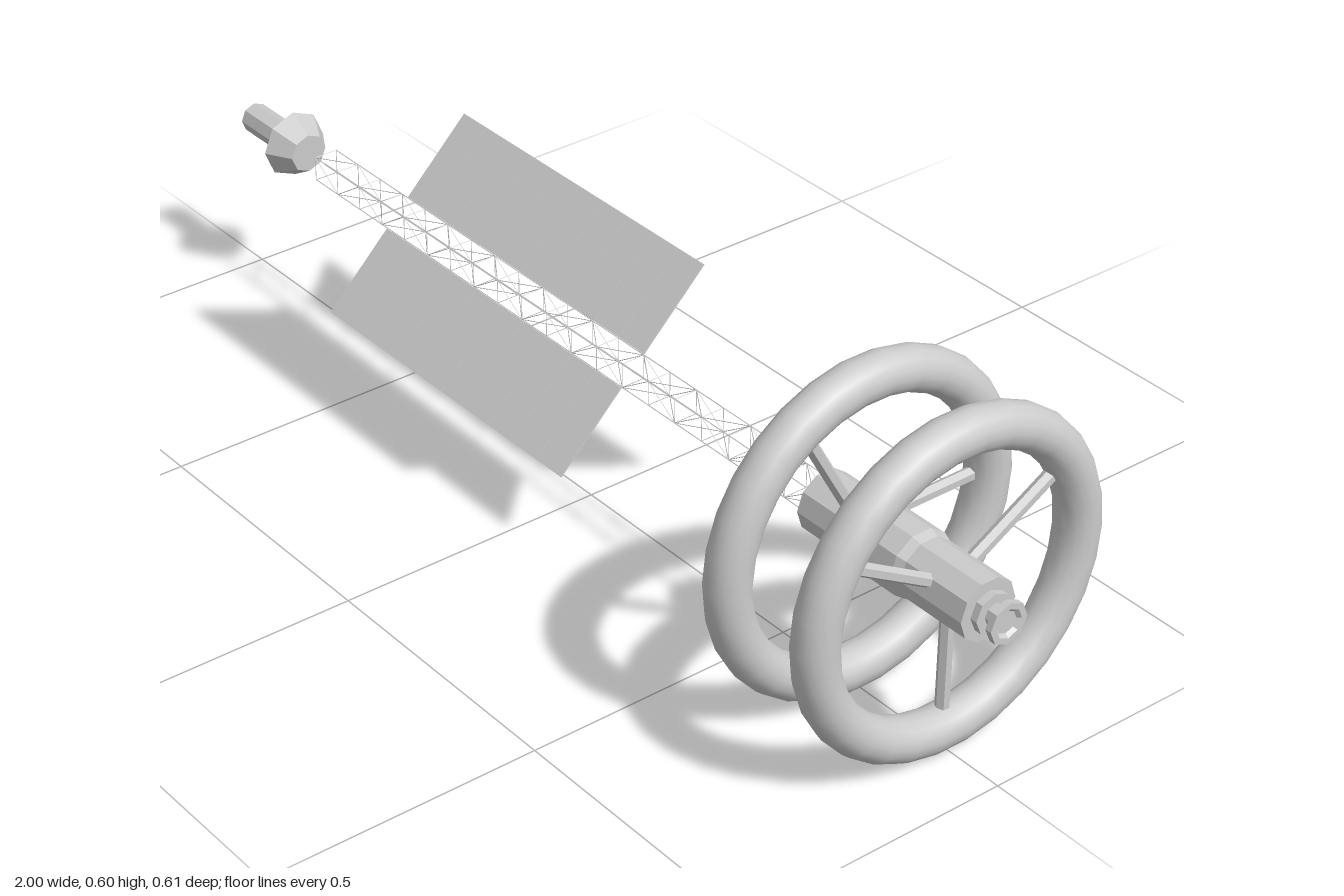
import * as THREE from 'three';

const flat = new THREE.MeshStandardMaterial({ color: 0xcccccc, flatShading: true });
const smooth = new THREE.MeshStandardMaterial({ color: 0xcccccc });
const thin = new THREE.MeshStandardMaterial({ color: 0xcccccc, flatShading: true, side: THREE.DoubleSide });

function add(parent, name, geometry, material = flat) {
  const mesh = new THREE.Mesh(geometry, material);
  mesh.name = name;
  parent.add(mesh);
  return mesh;
}

// Faceted body around the x axis from [x, radius] points, in order of rising x
function turned(parent, name, points, sides) {
  const geometry = new THREE.LatheGeometry(points.map(([x, r]) => new THREE.Vector2(r, x)), sides);
  geometry.rotateZ(-Math.PI / 2);
  return add(parent, name, geometry);
}

// Straight rod between two points
function rod(parent, name, a, b, radius, sides) {
  const mesh = add(parent, name, new THREE.CylinderGeometry(radius, radius, a.distanceTo(b), sides));
  mesh.position.copy(a).lerp(b, 0.5);
  mesh.quaternion.setFromUnitVectors(new THREE.Vector3(0, 1, 0), b.clone().sub(a).normalize());
  return mesh;
}

// Habitat ring with three spokes; angles run from -z towards +y
function habitatRing(x, firstAngle) {
  const ring = new THREE.Group();
  ring.name = 'habitatRing';
  add(ring, 'ringTube', new THREE.TorusGeometry(0.265, 0.038, 16, 30).rotateY(Math.PI / 2), smooth);
  for (let i = 0; i < 3; i++) {
    const a = firstAngle + (i * Math.PI * 2) / 3;
    const dir = new THREE.Vector3(0, Math.sin(a), -Math.cos(a));
    rod(ring, 'spoke', dir.clone().multiplyScalar(0.04), dir.clone().multiplyScalar(0.24), 0.012, 6);
  }
  ring.position.x = x;
  return ring;
}

// Square lattice boom of four rails, cross frames and diagonals
function latticeBoom(x0, x1, half, bays) {
  const boom = new THREE.Group();
  boom.name = 'latticeBoom';
  const corners = [[1, 1], [1, -1], [-1, -1], [-1, 1]];
  const point = (x, k) => new THREE.Vector3(x, corners[k % 4][0] * half, corners[k % 4][1] * half);
  const step = (x1 - x0) / bays;
  for (let k = 0; k < 4; k++) {
    rod(boom, 'rail', point(x0, k), point(x1, k), 0.0012, 4);
    for (let i = 0; i <= bays; i++) {
      const x = x0 + i * step;
      rod(boom, 'crossBar', point(x, k), point(x, k + 1), 0.0007, 3);
      if (i < bays) {
        const flip = (i + k) % 2;
        rod(boom, 'diagonal', point(x, k + flip), point(x + step, k + 1 - flip), 0.0007, 3);
      }
    }
  }
  return boom;
}

// One radiator wing made of ten thin slats, standing out along +y
function radiator(x0, x1, inner, outer, count) {
  const wing = new THREE.Group();
  wing.name = 'radiator';
  const step = (x1 - x0) / count;
  for (let i = 0; i < count; i++) {
    const slat = add(wing, 'radiatorSlat', new THREE.BoxGeometry(step - 0.001, outer - inner, 0.003), thin);
    slat.position.set(x0 + (i + 0.5) * step, (inner + outer) / 2, 0);
  }
  return wing;
}

export function createModel() {
  const model = new THREE.Group();
  const ship = new THREE.Group();
  ship.name = 'ship';
  ship.position.y = 0.303;
  model.add(ship);

  // Hub with a slightly thicker drum between the rings
  turned(ship, 'hub', [[0.585, 0], [0.585, 0.055], [0.955, 0.055], [0.955, 0]], 10);
  turned(ship, 'hubDrum', [[0.705, 0.05], [0.715, 0.061], [0.805, 0.061], [0.835, 0.05]], 10);

  // Docking port on the nose
  turned(ship, 'dockingPort', [
    [0.95, 0.036], [0.968, 0.036], [0.968, 0.019], [0.988, 0.019],
    [0.988, 0.037], [1, 0.037], [1, 0.026], [0.994, 0.02], [0.994, 0],
  ], 8);

  ship.add(habitatRing(0.67, 0), habitatRing(0.87, Math.PI / 6));
  ship.add(latticeBoom(-0.77, 0.585, 0.0225, 20));

  // Four radiators on the diagonals
  for (let i = 0; i < 4; i++) {
    const wing = radiator(-0.55, 0.11, 0.033, 0.209, 10);
    wing.rotation.x = Math.PI / 4 + (i * Math.PI) / 2;
    ship.add(wing);
  }

  // Engine at the tail, standing free of the boom
  turned(ship, 'engine', [
    [-1, 0], [-1, 0.028], [-0.888, 0.028], [-0.872, 0.063], [-0.825, 0.036], [-0.825, 0],
  ].slice(), 8);

  return model;
}
